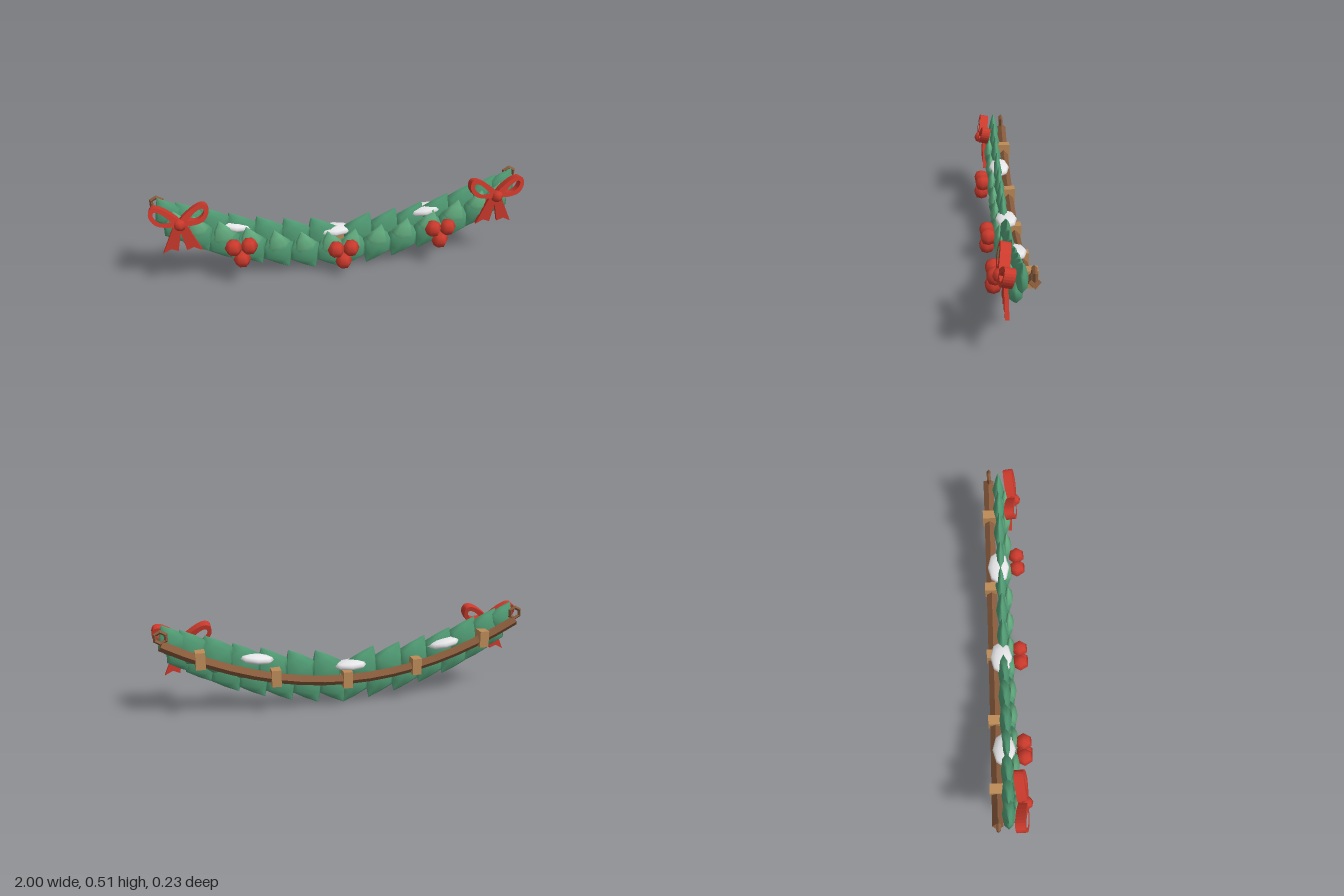
import * as THREE from 'three';

const mat = (name, color) => Object.assign(new THREE.MeshStandardMaterial({ color }), { name });

export function createModel() {
  const root = new THREE.Group();
  const green = mat('leaf green', 0x529e76);
  const lightGreen = mat('light leaf green', 0x63ad80);
  const red = mat('berry red', 0xcb3a2c);
  const brown = mat('rope brown', 0x875a3b);
  const tan = mat('strap tan', 0xbd8b58);
  const white = mat('snow white', 0xe6e6e8);

  const sag = x => 0.165 + 0.285 * x * x;
  const slope = x => Math.atan(0.57 * x);
  const add = (name, geo, material, x, y, z, parent = root) => {
    const m = new THREE.Mesh(geo, material);
    m.name = name;
    m.position.set(x, y, z);
    parent.add(m);
    return m;
  };
  const faceted = g => {
    const f = g.toNonIndexed();
    f.computeVertexNormals();
    return f;
  };

  // Sagging square rope with capped ends
  const ropeZ = -0.077;
  const pts = [];
  for (let i = 0; i <= 12; i++) {
    const x = -0.96 + 0.16 * i;
    pts.push(new THREE.Vector3(x, sag(x), ropeZ));
  }
  const curve = new THREE.CatmullRomCurve3(pts);
  add('rope', faceted(new THREE.TubeGeometry(curve, 16, 0.028, 4)), brown, 0, 0, 0);
  for (const s of [-1, 1]) {
    const cap = add('ropeEnd', new THREE.CircleGeometry(0.028, 4), brown, s * 0.96, sag(0.96), ropeZ);
    cap.rotation.set(0, s * Math.PI / 2, s * slope(0.96), 'ZYX');
    add('hangingRing', faceted(new THREE.TorusGeometry(0.031, 0.011, 4, 6)), brown, s * 0.958, 0.47, -0.074)
      .rotation.z = Math.PI / 6;
  }

  // Upright straps wrapped round the rope
  for (const x of [-0.77, -0.385, 0, 0.385, 0.77]) {
    add('strap', new THREE.BoxGeometry(0.05, 0.09, 0.072), tan, x, sag(x) + 0.007, -0.078);
  }

  // Pointed leaf, base at the origin, tip at y = 1
  const leafGeo = new THREE.LatheGeometry(
    [[0, 0], [0.65, 0.17], [1, 0.45], [0.52, 0.74], [0, 1]].map(p => new THREE.Vector2(...p)), 8);
  const leaf = (name, material, x, y, z, angle, w, len, t) => {
    const m = add(name, leafGeo, material, x, y, z);
    m.scale.set(w, len, t);
    m.rotation.z = angle - Math.PI / 2;
  };

  // Overlapping leaves, mirrored about the middle
  const tilt = THREE.MathUtils.degToRad(63);
  const rows = [[0.08, 1], [0.225, 1], [0.37, 1], [0.515, 1], [0.655, 1.03], [0.785, 0.94], [0.882, 0.84]];
  for (const side of [-1, 1]) {
    const up = side > 0 ? tilt : Math.PI - tilt;
    for (const [x, k] of rows) {
      const y = sag(x);
      const at = d => [side * (x + d * k * Math.cos(tilt)), y + d * k * Math.sin(tilt)];
      leaf('lowerLeaf', green, ...at(0.05), 0, up + Math.PI, 0.095 * k, 0.23 * k, 0.04);
      leaf('upperLeaf', green, ...at(-0.05), -0.024, up, 0.095 * k, 0.23 * k, 0.032);
      leaf('middleLeaf', lightGreen, ...at(-0.09), 0.012, up + side * 0.25, 0.065 * k, 0.17 * k, 0.031);
    }
  }

  // Snow patches resting on top
  for (const [x, y] of [[-0.56, 0.315], [-0.03, 0.232], [0.475, 0.308]]) {
    const snow = add('snowPatch', new THREE.SphereGeometry(1, 8, 6), white, x, y, -0.035);
    snow.scale.set(0.095, 0.028, 0.06);
    snow.rotation.z = slope(x) * 0.5;
  }

  // Berry clusters
  const berryGeo = new THREE.SphereGeometry(0.047, 6, 4);
  for (const [cx, cy] of [[-0.545, 0.24], [0.002, 0.166], [0.54, 0.24]]) {
    for (const [dx, dy, z] of [[-0.041, 0, 0.07], [0.041, 0, 0.068], [0, -0.072, 0.074]]) {
      add('berry', berryGeo, red, cx + dx, cy + dy, z);
    }
  }

  // Bows: two ribbon loops, two notched tails and a knot
  const loopOut = [[0, -0.012], [0.06, -0.016], [0.12, 0], [0.15, 0.045], [0.142, 0.085], [0.11, 0.093], [0.06, 0.068], [0, 0.016]];
  const loopIn = [[0.04, 0.012], [0.085, 0.01], [0.115, 0.028], [0.129, 0.055], [0.118, 0.07], [0.085, 0.055]];
  const tailPts = [[-0.012, 0], [0.022, -0.165], [0.058, -0.15], [0.1, -0.172], [0.026, 0]];
  const vecs = (list, s) => list.map(([x, y]) => new THREE.Vector2(s * x, y));
  const rounded = (list, s) => new THREE.SplineCurve(vecs([...list, list[0]], s)).getPoints(24).slice(0, -1);
  for (const side of [-1, 1]) {
    const bow = new THREE.Group();
    bow.name = 'bow';
    bow.position.set(side * 0.848, 0.405, 0);
    root.add(bow);
    for (const s of [-1, 1]) {
      const shape = new THREE.Shape(rounded(loopOut, s));
      shape.holes.push(new THREE.Path(rounded(loopIn, s)));
      const loop = add('bowLoop', new THREE.ExtrudeGeometry(shape, { depth: 0.05, bevelEnabled: false }),
        red, 0, 0, 0.025, bow);
      loop.rotation.x = -0.22;
      add('bowTail', new THREE.ExtrudeGeometry(new THREE.Shape(vecs(tailPts, s)), { depth: 0.02, bevelEnabled: false }),
        red, 0, 0, 0.03, bow);
    }
    add('bowKnot', new THREE.SphereGeometry(0.034, 7, 4), red, 0, 0, 0.066, bow);
  }
  return root;
}
